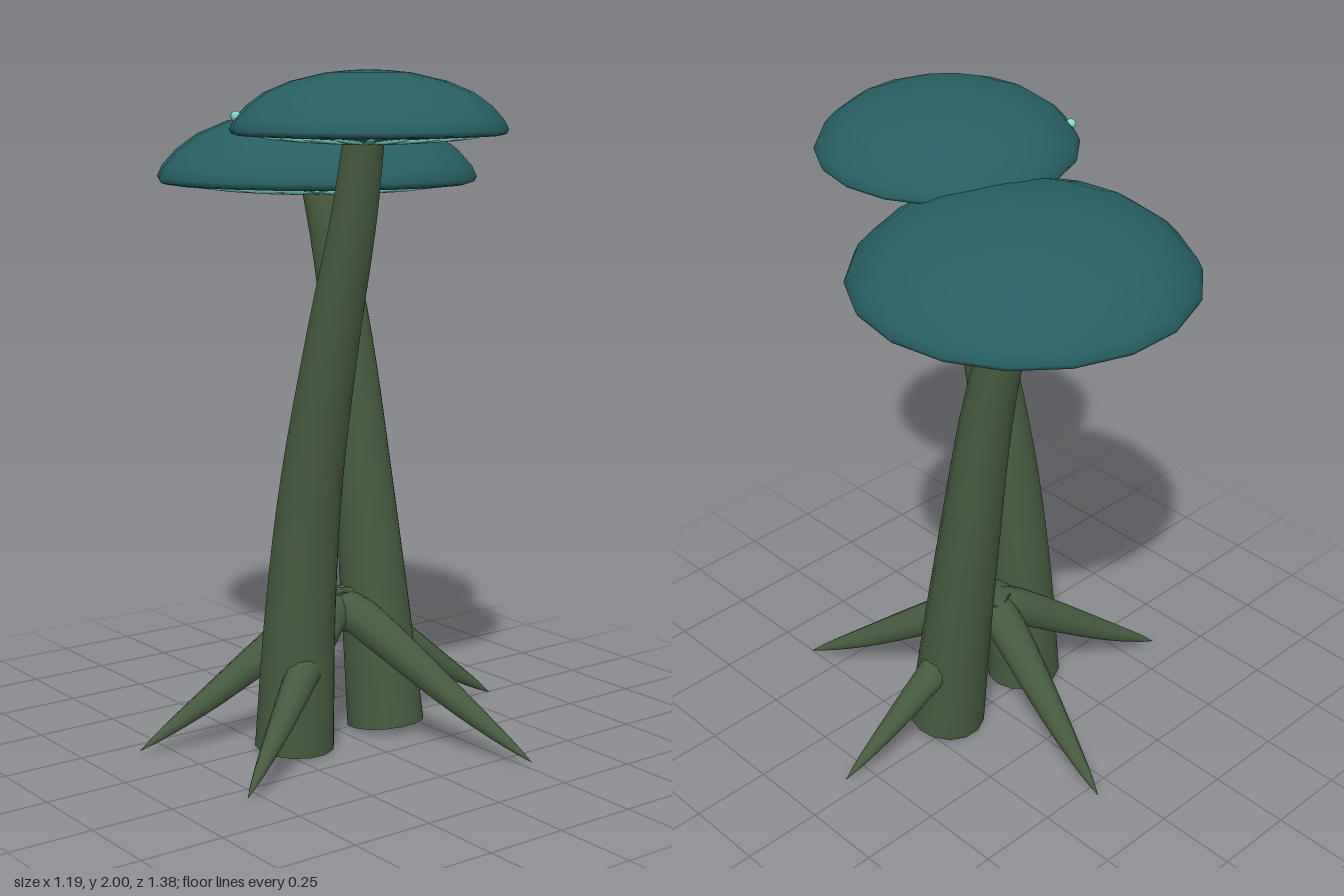
import * as THREE from 'three';

const stemMat = new THREE.MeshStandardMaterial({ color: 0x475b40 });
stemMat.name = 'moss green';
const capMat = new THREE.MeshStandardMaterial({ color: 0x265f63 });
capMat.name = 'deep teal';
const glowMat = new THREE.MeshStandardMaterial({ color: 0x80dccb });
glowMat.name = 'pale aqua';

const vec = (p) => new THREE.Vector3(...p);

function add(parent, geometry, material, name) {
  const mesh = new THREE.Mesh(geometry, material);
  mesh.name = name;
  parent.add(mesh);
  return mesh;
}

// Round limb along a curve, its radius set by a rule, closed at the start
function limb(name, points, radiusAt, segments, sides) {
  const group = new THREE.Group();
  group.name = name;
  const curve = new THREE.CatmullRomCurve3(points.map(vec));
  const geo = new THREE.TubeGeometry(curve, segments, 1, sides);
  const pos = geo.attributes.position;
  const v = new THREE.Vector3();
  for (let i = 0; i < pos.count; i++) {
    const t = Math.floor(i / (sides + 1)) / segments;
    const centre = curve.getPointAt(t);
    v.fromBufferAttribute(pos, i).sub(centre).multiplyScalar(radiusAt(t)).add(centre);
    pos.setXYZ(i, v.x, v.y, v.z);
  }
  add(group, geo, stemMat, name + 'Side');
  const end = add(group, new THREE.CircleGeometry(radiusAt(0), sides), stemMat, name + 'End');
  end.position.copy(curve.getPointAt(0));
  end.quaternion.setFromUnitVectors(new THREE.Vector3(0, 0, 1), curve.getTangentAt(0).negate());
  return group;
}

// Domed cap of unit radius, scaled; gills fan out beneath it
function cap(name, x, y, z, r) {
  const group = new THREE.Group();
  group.name = name;
  const under = [[0, -0.07], [0.5, -0.035], [0.95, -0.01]];
  const dome = [[0.95, -0.01], [0.985, 0.0], [1, 0.03], [0.97, 0.095], [0.88, 0.195], [0.75, 0.29],
    [0.56, 0.37], [0.3, 0.43], [0.12, 0.447], [0, 0.45]];
  const lathe = (pts) => new THREE.LatheGeometry(pts.map((p) => new THREE.Vector2(p[0], p[1])), 18)
    .rotateY(Math.PI / 2);
  add(group, lathe(under), capMat, 'capUnderside');
  add(group, lathe(dome), capMat, 'capDome');
  const gillCount = 20;
  for (let i = 0; i < gillCount; i++) {
    const gill = new THREE.SphereGeometry(1, 8, 6);
    gill.scale(0.36, 0.02, 0.03);
    gill.rotateZ(0.07);
    gill.translate(0.46, -0.043, 0);
    gill.rotateY((i / gillCount) * Math.PI * 2);
    add(group, gill, glowMat, 'gill');
  }
  group.position.set(x, y, z);
  group.scale.setScalar(r);
  return group;
}

export function createModel() {
  const model = new THREE.Group();
  model.name = 'mushroomPair';

  // Leaning stems
  const taper = (t) => 0.12 - 0.062 * t;
  model.add(limb('tallStem', [[-0.193, 0.01, 0.05], [-0.185, 0.4, 0.068], [-0.175, 0.8, 0.11],
    [-0.158, 1.25, 0.195], [-0.14, 1.6, 0.27], [-0.135, 1.83, 0.31]], taper, 20, 14));
  model.add(limb('shortStem', [[0.153, 0.015, 0.05], [0.146, 0.35, 0.01], [0.136, 0.8, -0.05],
    [0.122, 1.2, -0.105], [0.105, 1.5, -0.165], [0.09, 1.68, -0.21]], taper, 20, 14));

  // Caps
  model.add(cap('tallCap', -0.122, 1.825, 0.31, 0.385));
  model.add(cap('shortCap', 0.083, 1.668, -0.212, 0.487));

  // Small glowing spot on the tall cap
  const spot = add(model, new THREE.SphereGeometry(0.015, 8, 6), glowMat, 'glowSpot');
  spot.position.set(-0.425, 1.872, 0.108);

  // Arched roots spreading from a shared crown
  const tips = [[0.59, 0.04], [0.26, 0.6], [-0.56, 0.34], [-0.6, -0.165], [0.08, -0.55]];
  const arch = [[-0.08, 0.385], [0.08, 0.385], [0.22, 0.335], [0.42, 0.25], [0.68, 0.14], [1, 0.015]];
  const rootRadius = (t) => 0.064 * Math.pow(Math.max(0.001, 1 - t), 0.8) * (1 + 0.55 * t);
  for (const [x, z] of tips) {
    model.add(limb('root', arch.map(([f, y]) => [x * f, y, z * f]), rootRadius, 16, 10));
  }
  return model;
}
